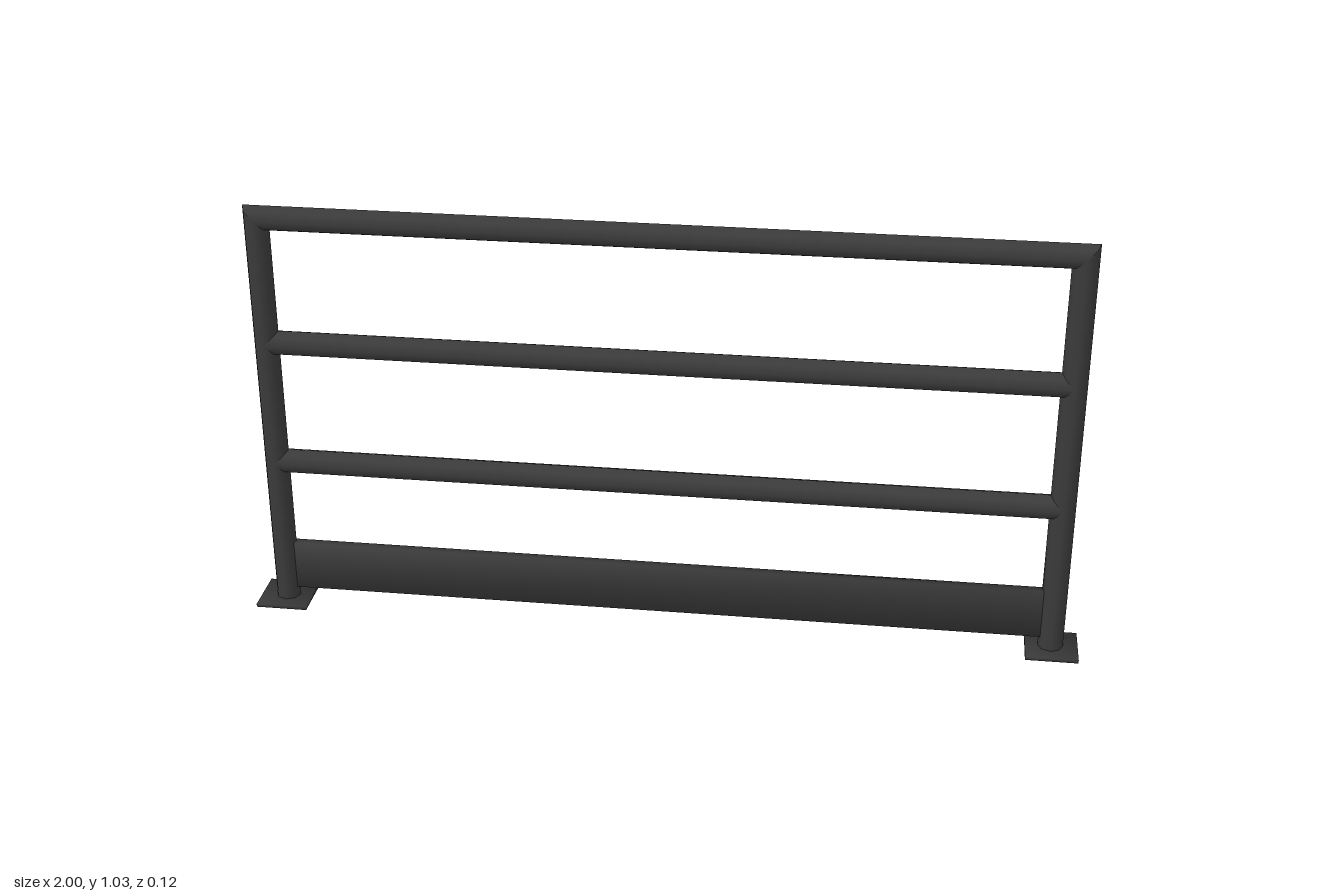
import * as THREE from 'three';

const R = 0.03;        // tube radius
const POST_X = 0.935;  // post axis
const TOP_Y = 1.0;     // top rail axis

export function createModel() {
  const group = new THREE.Group();
  const steel = new THREE.MeshStandardMaterial({ color: 0x3b3b3b });
  steel.name = 'dark steel';

  function add(name, geometry, x, y, z = 0) {
    const mesh = new THREE.Mesh(geometry, steel);
    mesh.name = name;
    mesh.position.set(x, y, z);
    group.add(mesh);
  }

  // Box whose normals are blended round its corners
  function softBox(w, h, d) {
    const geo = new THREE.BoxGeometry(w, h, d);
    const p = geo.attributes.position;
    const n = new THREE.Vector3();
    for (let i = 0; i < p.count; i++) {
      n.set(Math.sign(p.getX(i)), Math.sign(p.getY(i)), Math.sign(p.getZ(i))).normalize();
      geo.attributes.normal.setXYZ(i, n.x, n.y, n.z);
    }
    return geo;
  }

  // Post with its top mitred at 45 degrees, higher on the outer side
  function postGeometry(side) {
    const geo = new THREE.CylinderGeometry(R, R, TOP_Y, 8, 1, true);
    geo.translate(0, TOP_Y / 2, 0);
    const p = geo.attributes.position;
    for (let i = 0; i < p.count; i++) {
      if (p.getY(i) > 0.5) p.setY(i, TOP_Y + side * p.getX(i));
    }
    return geo;
  }

  // Horizontal tube; mitred ends reach further out at the top
  function railGeometry(mitred) {
    const geo = new THREE.CylinderGeometry(R, R, POST_X * 2, 8, 1, mitred);
    geo.rotateZ(Math.PI / 2);
    if (mitred) {
      const p = geo.attributes.position;
      for (let i = 0; i < p.count; i++) {
        p.setX(i, Math.sign(p.getX(i)) * (POST_X + p.getY(i)));
      }
    }
    return geo;
  }

  // Posts on square base plates
  for (const side of [-1, 1]) {
    const label = side > 0 ? 'left' : 'right';
    add(label + 'Post', postGeometry(side), side * POST_X, 0);
    add(label + 'BasePlate', softBox(0.125, 0.008, 0.125), side * 0.9375, 0.004);
  }

  // Rails
  add('topRail', railGeometry(true), 0, TOP_Y);
  add('upperMidRail', railGeometry(false), 0, 0.69);
  add('lowerMidRail', railGeometry(false), 0, 0.38);

  // Kick plate between the posts
  add('kickPlate', softBox(1.83, 0.125, 0.02), 0, 0.0965);

  return group;
}
